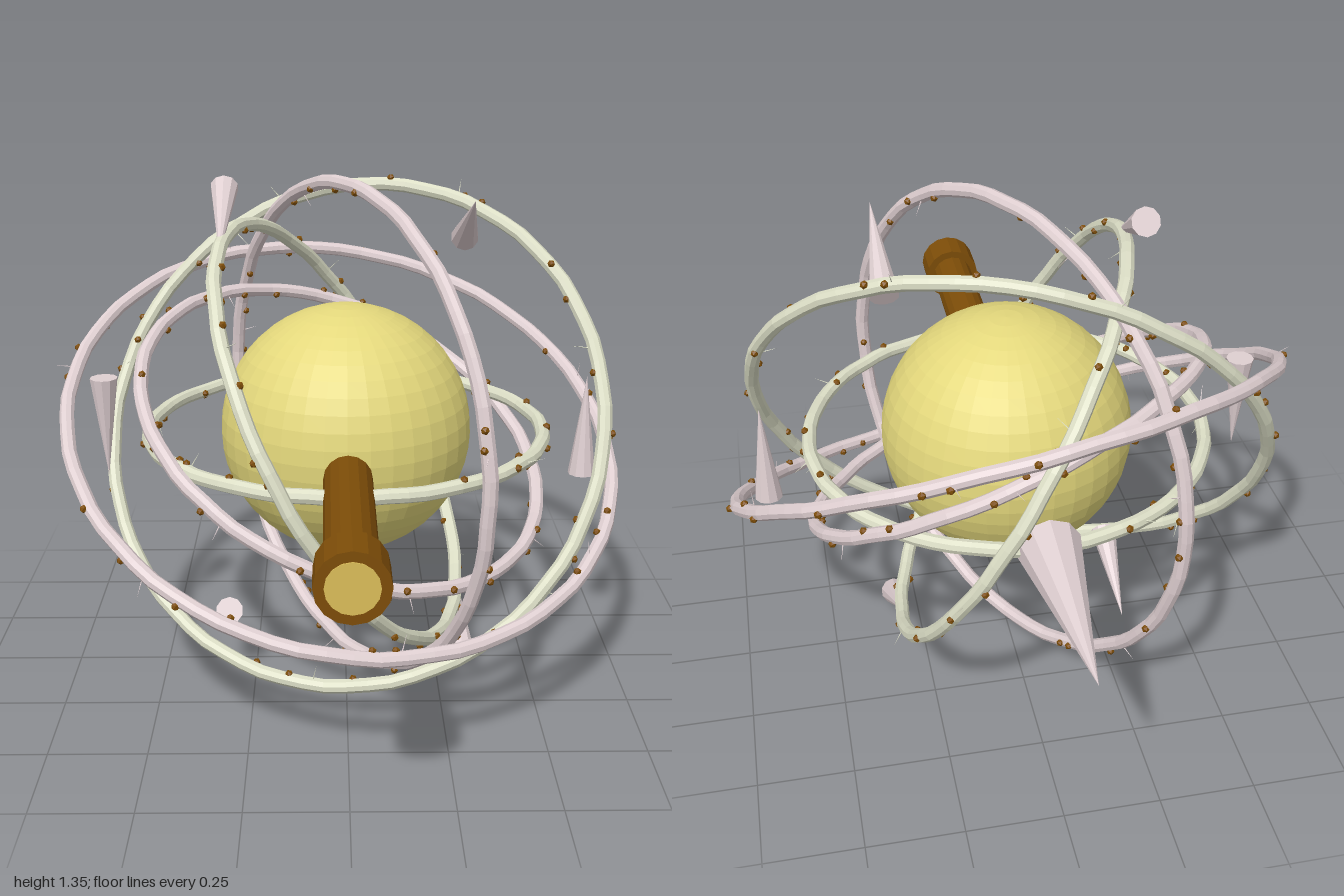
import * as THREE from 'three';

const mat = (name, color) => {
  const m = new THREE.MeshStandardMaterial({ color, flatShading: true });
  m.name = name;
  return m;
};

export function createModel() {
  const root = new THREE.Group();
  root.name = 'orbitingRings';
  const yellow = mat('paleYellow', 0xe4d87c);
  const gold = mat('gold', 0xdcbe5a);
  const brown = mat('woodBrown', 0x7d4d08);
  const pink = mat('pinkGrey', 0xdfcfd1);
  const green = mat('greenGrey', 0xdcdec6);

  const core = new THREE.Group();
  core.position.set(0, 0.67, -0.008);
  root.add(core);
  const Z = new THREE.Vector3(0, 0, 1), Y = new THREE.Vector3(0, 1, 0);

  const add = (name, geometry, material, parent = core) => {
    const m = new THREE.Mesh(geometry, material);
    m.name = name;
    parent.add(m);
    return m;
  };

  let seed = 7;
  const rnd = () => (seed = (seed * 16807) % 2147483647) / 2147483647;

  // Central globe
  add('globe', new THREE.SphereGeometry(0.333, 36, 24), yellow);

  // Barrel along +z with a collar and a bright end disc
  const alongZ = (name, r, z0, z1, material) => {
    const g = new THREE.CylinderGeometry(r, r, z1 - z0, 16);
    add(name, g.rotateX(Math.PI / 2), material).position.z = (z0 + z1) / 2;
  };
  alongZ('barrel', 0.06, 0.398, 0.91, brown);
  alongZ('barrelCollar', 0.081, 0.9, 1.005, brown);
  alongZ('barrelEndDisc', 0.058, 1.002, 1.008, gold);

  // Spikes, each from the centre of its base to its tip
  const spike = (name, base, tip, r, material = pink, parent = core, sides = 10) => {
    const dir = tip.clone().sub(base);
    const m = add(name, new THREE.ConeGeometry(r, dir.length(), sides), material, parent);
    m.position.copy(base).add(tip).multiplyScalar(0.5);
    m.quaternion.setFromUnitVectors(Y, dir.normalize());
  };
  const v = (x, y, z) => new THREE.Vector3(x, y, z);
  spike('rearSpike', v(0, 0, -0.522), v(0, 0, -0.992), 0.079);
  for (const s of [1, -1]) {
    spike('sideSpike', v(0.642 * s, -0.137 * s, 0), v(0.642 * s, 0.137 * s, 0), 0.037);
    spike('upperSpike', v(0.317 * s, 0.555 - 0.067 * s, -0.12), v(0.317 * s, 0.555 + 0.067 * s, 0.12), 0.037);
    spike('lowerSpike', v(0.317 * s, -0.555 - 0.067 * s, 0.12), v(0.317 * s, -0.555 + 0.067 * s, -0.12), 0.037);
  }

  // Rough vine rings: radius, plane normal, colour
  const tube = 0.019;
  const rings = [
    ['levelRing', 0.524, v(0, 1, 0), green],
    ['uprightRing', 0.647, v(0.866, 0, -0.5), pink],
    ['wideRing', 0.735, v(0.165, 0.87, 0.469), pink],
    ['innerTiltedRing', 0.566, v(0.355, 0.864, 0.355), pink],
    ['largeRing', 0.688, v(-0.31, 0.49, 0.814), green],
    ['steepRing', 0.602, v(0.845, 0.494, 0.207), green],
  ];
  const budShape = new THREE.IcosahedronGeometry(0.0105, 0);
  for (const [name, R, normal, material] of rings) {
    const ring = new THREE.Group();
    ring.name = name;
    ring.quaternion.setFromUnitVectors(Z, normal.normalize());
    core.add(ring);
    // Bark-like wobble that repeats smoothly around the ring
    const g = new THREE.TorusGeometry(R, tube, 9, 72);
    const p = g.attributes.position;
    for (let i = 0; i < p.count; i++) {
      const a = Math.atan2(p.getY(i), p.getX(i));
      const k = 1 + 0.002 * Math.sin(23 * a);
      p.setXYZ(i, p.getX(i) * k, p.getY(i) * k, p.getZ(i) + 0.0015 * Math.sin(17 * a));
    }
    g.computeVertexNormals();
    add(name + 'Vine', g, material, ring);

    // Buds and fine thorns scattered on the vine
    const onRing = (a, b, r) => v(
      (R + r * Math.cos(b)) * Math.cos(a), (R + r * Math.cos(b)) * Math.sin(a), r * Math.sin(b));
    for (let i = 0; i < 28; i++) {
      const a = (i + rnd()) / 28 * Math.PI * 2, b = rnd() * Math.PI * 2;
      add('bud', budShape, brown, ring).position.copy(onRing(a, b, tube));
      if (i % 4 === 0) {
        const c = a + 0.1;
        spike('thorn', onRing(c, b, tube * 0.8), onRing(c + 0.02, b, tube + 0.04), 0.0018, material, ring, 4);
      }
    }
  }
  return root;
}
